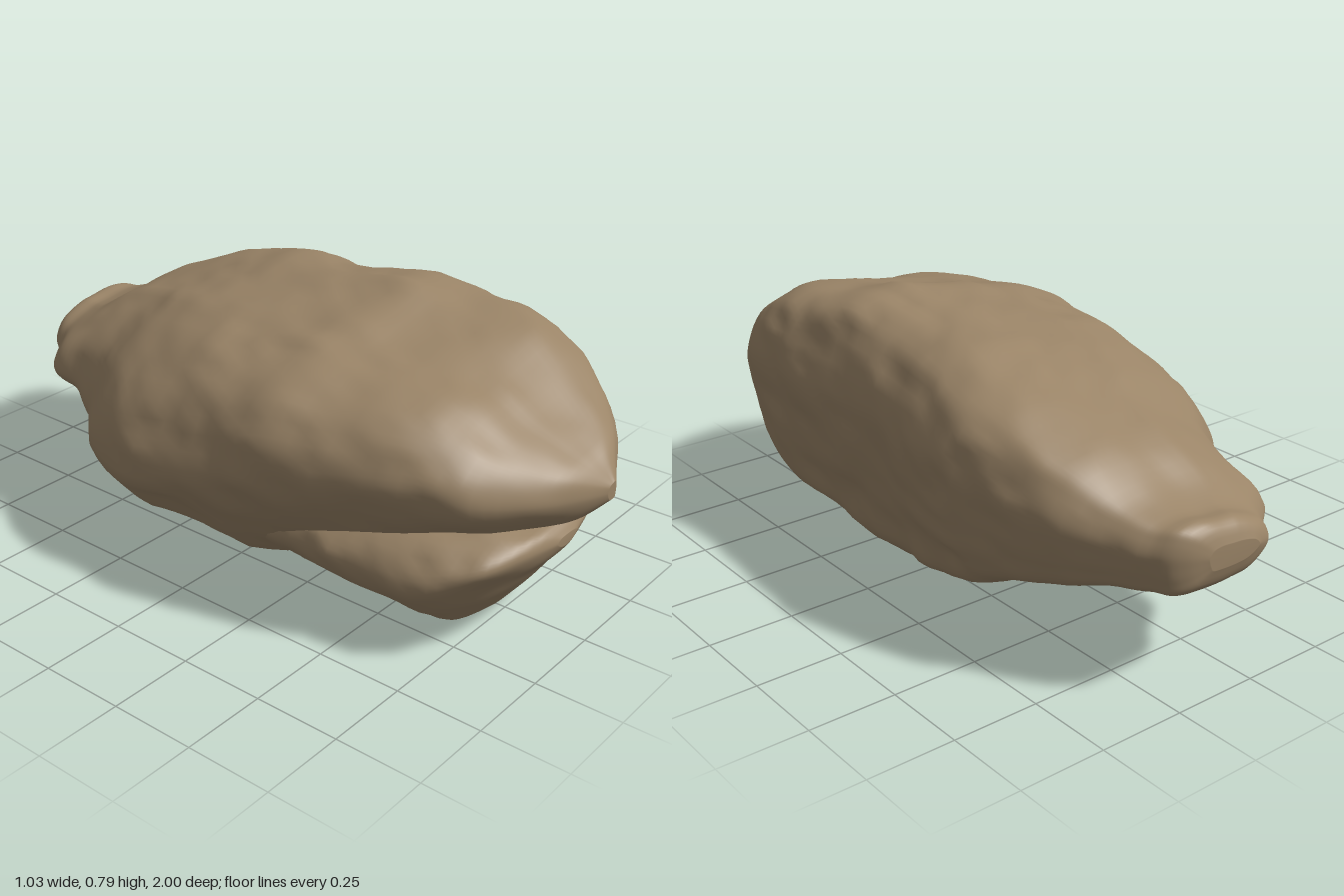
import * as THREE from 'three';

// Smooth value noise from a small integer hash, range -1..1
function hash(x, y, z) {
  let h = Math.imul(x, 374761393) ^ Math.imul(y, 668265263) ^ Math.imul(z, 2147483647 ^ 0x5bd1e995);
  h = Math.imul(h ^ (h >>> 13), 1274126177);
  return ((h ^ (h >>> 16)) >>> 0) / 2147483648 - 1;
}
function noise(x, y, z) {
  const c = [x, y, z].map(Math.floor);
  const f = [x - c[0], y - c[1], z - c[2]].map((t) => t * t * (3 - 2 * t));
  let sum = 0;
  for (let k = 0; k < 8; k++) {
    const d = [k & 1, (k >> 1) & 1, k >> 2];
    const w = d.reduce((p, bit, n) => p * (bit ? f[n] : 1 - f[n]), 1);
    sum += w * hash(c[0] + d[0], c[1] + d[1], c[2] + d[2]);
  }
  return sum;
}

// Cross-sections, from the right flank over the top and under the belly
const closedCurve = (points) => new THREE.CatmullRomCurve3(
  points.map(([x, y]) => new THREE.Vector3(x, y, 0)), true);
const bodyOutline = closedCurve([
  [-1, -0.1], [-0.95, 0.25], [-0.78, 0.56], [-0.52, 0.74], [-0.25, 0.84], [0.1, 0.91], [0.5, 1],
  [0.8, 0.9], [0.93, 0.64], [1, 0.3], [0.98, -0.1], [0.93, -0.5], [0.83, -0.86], [0.45, -0.97],
  [0, -1], [-0.45, -0.88], [-0.77, -0.58],
]);
const ledgeOutline = closedCurve([
  [-1, 0.15], [-0.9, 0.6], [-0.6, 0.94], [0, 1], [0.5, 0.95], [0.85, 0.8], [1, 0.5],
  [0.87, 0], [0.63, -0.5], [0.32, -0.9], [0, -1], [-0.42, -0.88], [-0.77, -0.45],
]);

// Lofts rows of [z, xMin, xMax, yMin, yMax, droop of the right flank] into a weathered stone
function stone(outline, rows, rings, sides, rough) {
  const spline = new THREE.CubicInterpolant(
    rows.map((r) => r[0]), rows.flatMap((r) => r.slice(1)), 5, new Float32Array(5));
  const z0 = rows[0][0], z1 = rows[rows.length - 1][0];
  const pos = [], index = [];
  const section = outline.getPoints(sides).slice(0, sides);
  for (let i = 0; i <= rings; i++) {
    const z = z0 + (z1 - z0) * (0.5 - 0.5 * Math.cos((Math.PI * i) / rings));
    const [xa, xb, ya, yb, droop] = spline.evaluate(z);
    const cx = (xa + xb) / 2, cy = (ya + yb) / 2;
    for (const p of section) {
      const py = Math.max(-1, p.y + droop * Math.min(0, p.x + 0.2));
      const x = cx + p.x * (xb - xa) / 2, y = cy + py * (yb - ya) / 2;
      // broad swells, shallow ridges and small chips
      const n = 0.5 * noise(x * 4 + 7, y * 5, z * 4)
        + 0.5 * (0.35 - Math.abs(noise(x * 8, y * 9 + 3, z * 6)))
        + 0.3 * noise(x * 17, y * 17, z * 14 + 5);
      const k = 1 + rough * n;
      pos.push(cx + (x - cx) * k, Math.max(0, cy + (y - cy) * k), z);
    }
  }
  for (let i = 0; i < rings; i++) {
    for (let j = 0; j < sides; j++) {
      const a = i * sides + j, b = i * sides + (j + 1) % sides;
      index.push(a, a + sides, b, b, a + sides, b + sides);
    }
  }
  // end caps
  const mid = (r) => [(r[1] + r[2]) / 2, (r[3] + r[4]) / 2, r[0]];
  const back = pos.length / 3, front = back + 1, last = rings * sides;
  pos.push(...mid(rows[0]), ...mid(rows[rows.length - 1]));
  for (let j = 0; j < sides; j++) {
    const n = (j + 1) % sides;
    index.push(back, j, n, front, last + n, last + j);
  }
  const g = new THREE.BufferGeometry();
  g.setAttribute('position', new THREE.Float32BufferAttribute(pos, 3));
  g.setIndex(index);
  g.computeVertexNormals();
  return g;
}

export function createModel() {
  const group = new THREE.Group();
  group.name = 'boulder';
  const rock = new THREE.MeshStandardMaterial({ color: 0x9a8467 });
  rock.name = 'brown stone';

  // Long main body, tapering to a thin tail at the back
  const body = new THREE.Mesh(stone(bodyOutline, [
    [-1, 0.0, 0.17, 0.36, 0.42, 0.1],
    [-0.985, -0.04, 0.22, 0.32, 0.46, 0.2],
    [-0.9, -0.12, 0.3, 0.29, 0.48, 0.3],
    [-0.82, -0.22, 0.35, 0.28, 0.51, 0.45],
    [-0.7, -0.25, 0.43, 0.25, 0.59, 0.5],
    [-0.55, -0.32, 0.48, 0.2, 0.65, 0.5],
    [-0.4, -0.44, 0.51, 0.13, 0.7, 0.4],
    [-0.2, -0.51, 0.49, 0.07, 0.745, 0.25],
    [0, -0.51, 0.455, 0.03, 0.76, 0.08],
    [0.12, -0.5, 0.455, 0.02, 0.77, 0],
    [0.25, -0.49, 0.465, 0.05, 0.78, -0.1],
    [0.4, -0.46, 0.485, 0.09, 0.75, -0.15],
    [0.6, -0.41, 0.48, 0.17, 0.72, -0.2],
    [0.7, -0.37, 0.45, 0.22, 0.68, -0.25],
    [0.8, -0.31, 0.39, 0.27, 0.61, -0.25],
    [0.9, -0.17, 0.27, 0.32, 0.545, -0.15],
    [0.95, -0.08, 0.18, 0.35, 0.51, -0.1],
    [1, 0.05, 0.09, 0.4, 0.45, 0],
  ], 80, 90, 0.06), rock);
  body.name = 'mainBody';

  // Lower ledge jutting out beneath the front overhang
  const ledge = new THREE.Mesh(stone(ledgeOutline, [
    [0, -0.3, 0.05, 0.08, 0.25, 0],
    [0.1, -0.35, 0.15, 0.06, 0.28, 0],
    [0.25, -0.38, 0.25, 0.05, 0.32, 0],
    [0.45, -0.4, 0.33, 0.045, 0.35, 0],
    [0.6, -0.39, 0.35, 0.02, 0.36, 0],
    [0.7, -0.38, 0.35, 0.01, 0.36, 0],
    [0.8, -0.34, 0.3, 0.1, 0.355, 0],
    [0.87, -0.27, 0.22, 0.2, 0.345, 0],
    [0.91, -0.16, 0.12, 0.25, 0.335, 0],
    [0.93, -0.06, 0.03, 0.28, 0.31, 0],
  ], 50, 60, 0.1), rock);
  ledge.name = 'lowerLedge';

  group.add(body, ledge);
  return group;
}
